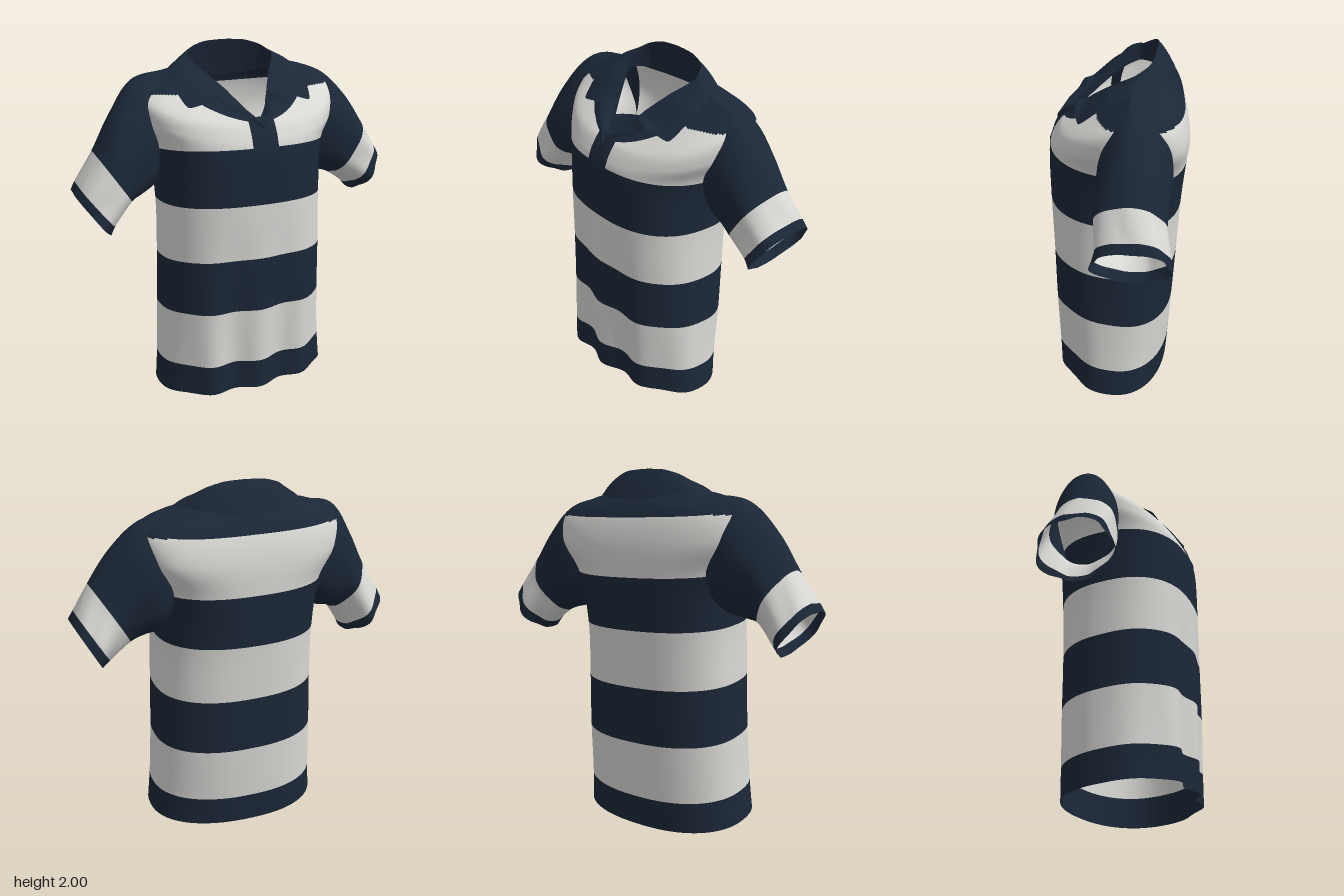
import * as THREE from 'three';

const mat = (name, color) => {
  const m = new THREE.MeshStandardMaterial({ color, side: THREE.DoubleSide });
  m.name = name;
  return m;
};
const { lerp, smoothstep } = THREE.MathUtils;
const V = (x, y, z) => new THREE.Vector3(x, y, z);

// Surface from a grid of points; tint(point, row) picks navy (0) or white (1)
function surface(name, mats, columns, closed, tint = () => 0) {
  const nu = columns.length, nv = columns[0].length;
  const pos = [], lists = [[], []];
  columns.forEach(c => c.forEach(p => pos.push(p.x, p.y, p.z)));
  for (let i = 0; i < (closed ? nu : nu - 1); i++) {
    const k = (i + 1) % nu;
    for (let j = 0; j < nv - 1; j++) {
      const a = i * nv + j, b = k * nv + j;
      const mid = columns[i][j].clone().add(columns[k][j + 1]).multiplyScalar(0.5);
      lists[tint(mid, j)].push(a, b, b + 1, a, b + 1, a + 1);
    }
  }
  const g = new THREE.BufferGeometry();
  g.setAttribute('position', new THREE.Float32BufferAttribute(pos, 3));
  g.setIndex([...lists[0], ...lists[1]]);
  g.addGroup(0, lists[0].length, 0);
  g.addGroup(lists[0].length, lists[1].length, 1);
  g.computeVertexNormals();
  const mesh = new THREE.Mesh(g, mats);
  mesh.name = name;
  return mesh;
}

const STEPS = 16;
const along = keys => new THREE.CatmullRomCurve3(keys).getPoints((keys.length - 1) * STEPS);

// Body rings, hem to neckline: y front/side/back, half width, z front/side/back, roundness front/back
const RINGS = [
  [0.075, 0.035, 0.0, 0.52, 0.357, 0.03, -0.305, 2.4, 2.3],
  [0.25, 0.21, 0.17, 0.505, 0.36, 0.02, -0.315, 2.4, 2.3],
  [0.57, 0.53, 0.49, 0.487, 0.365, 0.0, -0.33, 2.5, 2.4],
  [0.88, 0.84, 0.81, 0.475, 0.37, 0.0, -0.345, 2.5, 2.4],
  [1.19, 1.16, 1.13, 0.468, 0.375, -0.02, -0.36, 2.5, 2.4],
  [1.5, 1.46, 1.42, 0.49, 0.365, -0.08, -0.38, 2.5, 2.5],
  [1.56, 1.65, 1.6, 0.565, 0.34, -0.11, -0.38, 2.3, 3.1],
  [1.6, 1.79, 1.74, 0.565, 0.315, -0.11, -0.35, 2.2, 2.8],
  [1.62, 1.865, 1.83, 0.4, 0.295, -0.09, -0.3, 1.7, 2.1],
  [1.63, 1.885, 1.87, 0.265, 0.265, -0.11, -0.25, 1.1, 2],
];

function ringPoint([yF, yS, yB, w, zF, zS, zB, nF, nB], a) {
  const c = Math.cos(a), s = Math.sin(a), e = 2 / (c > 0 ? nF : nB);
  const f = Math.abs(c) ** e;
  const y = lerp(yS, c > 0 ? yF : yB, f);
  let x = w * Math.sign(s) * Math.abs(s) ** e;
  let z = lerp(zS, c > 0 ? zF : zB, f);
  const low = 1 - smoothstep(y, 0, 0.8);
  if (c > 0) {
    // soft vertical folds and a slightly twisted hem, and the off-centre neck point
    z += 0.022 * Math.cos(x * 21.5) * f * (1 - smoothstep(y, 0.1, 1.25)) - 0.07 * x * f * low;
    x += 0.02 * f * smoothstep(y, 1.4, 1.62);
  } else {
    z += x * f * (0.05 * low - 0.07 * smoothstep(y, 1.2, 1.6));
  }
  return V(x, y, z);
}

function makeBody(mats) {
  const n = 288, columns = [];
  for (let i = 0; i < n; i++) {
    const a = (i / n) * Math.PI * 2;
    columns.push(along(RINGS.map(r => ringPoint(r, a))));
  }
  return surface('body', mats, columns, true, (p, row) => {
    const seg = Math.floor(row / STEPS);
    if (seg < 5) return seg % 2;
    if (p.z < -0.1) return seg < 7 && p.y < 1.75 ? 1 : 0;
    return seg < 8 && p.y < 1.755 && (p.x < -0.04 || p.x > 0.075) ? 1 : 0;
  });
}

// Sleeve rings: top x, y, bottom x, y, centre z, half depth
const LEFT = [
  [0.36, 1.862, 0.44, 1.27, -0.13, 0.15],
  [0.56, 1.81, 0.49, 1.225, -0.13, 0.185],
  [0.71, 1.68, 0.57, 1.205, -0.12, 0.18],
  [0.84, 1.51, 0.64, 1.18, -0.115, 0.178],
  [0.922, 1.372, 0.762, 1.1, -0.13, 0.188],
  [0.947, 1.325, 0.8, 1.06, -0.13, 0.195],
];
const RIGHT = [
  [-0.38, 1.862, -0.44, 1.27, -0.12, 0.15],
  [-0.57, 1.825, -0.49, 1.23, -0.08, 0.185],
  [-0.71, 1.66, -0.58, 1.2, -0.025, 0.19],
  [-0.82, 1.47, -0.63, 1.18, 0.0, 0.19],
  [-0.922, 1.31, -0.728, 1.055, 0.005, 0.203],
  [-0.945, 1.265, -0.757, 1.01, 0.005, 0.21],
];

function makeSleeve(name, mats, rings) {
  const n = 72, columns = [];
  for (let i = 0; i < n; i++) {
    const a = (i / n) * Math.PI * 2;
    columns.push(along(rings.map(([tx, ty, bx, by, zc, zs], k) => {
      const r = 1 + 0.012 * k * Math.sin(5 * a + k);
      const c = Math.cos(a) * (k > 2 ? Math.min(r, 1) : 1);
      return V((tx + bx) / 2 + c * (tx - bx) / 2, (ty + by) / 2 + c * (ty - by) / 2, zc + zs * r * Math.sin(a));
    })));
  }
  return surface(name, mats, columns, true, (p, row) => (Math.floor(row / STEPS) === 3 ? 1 : 0));
}

// Collar curves, front point to centre back (left half)
const FOLD = [
  [0, 1.62, 0.305], [0.045, 1.67, 0.24], [0.08, 1.72, 0.18], [0.1, 1.745, 0.15], [0.12, 1.775, 0.115],
  [0.185, 1.85, 0.01], [0.25, 1.92, -0.1], [0.21, 1.965, -0.175], [0.12, 1.993, -0.2], [0, 2.0, -0.205],
];
const EDGE = [
  [0, 1.58, 0.335], [0.08, 1.66, 0.285], [0.175, 1.69, 0.24], [0.215, 1.735, 0.21], [0.35, 1.7, 0.172],
  [0.385, 1.795, 0.05], [0.37, 1.866, -0.1], [0.28, 1.865, -0.23], [0.15, 1.845, -0.292], [0, 1.83, -0.308],
];
const STAND = [
  [0, 1.59, 0.3], [0.05, 1.63, 0.235], [0.09, 1.68, 0.17], [0.11, 1.7, 0.14], [0.13, 1.73, 0.105],
  [0.2, 1.8, 0], [0.265, 1.83, -0.1], [0.22, 1.82, -0.205], [0.13, 1.8, -0.245], [0, 1.79, -0.26],
];

function collarCurve(half) {
  const pts = [...half, ...half.slice(0, -1).reverse().map(([x, y, z]) => [-x, y, z])]
    .map(([x, y, z]) => V(x + 0.06 * Math.max(z, 0), y, z));
  return new THREE.CatmullRomCurve3(pts, false, 'catmullrom', 0.3).getPoints(144);
}

// Ribbon between two curves, bulging upward by lift
function ribbon(name, mats, from, to, lift) {
  const a = collarCurve(from), b = collarCurve(to);
  return surface(name, mats, a.map((p, i) => Array.from({ length: 9 }, (_, j) => {
    const t = j / 8, q = p.clone().lerp(b[i], t), h = lift * Math.sin(Math.PI * t);
    return q.add(V(0, h, q.z > 0 ? h : 0));
  })), false);
}

// Overlapping button strip below the neck point
function makePlacket(mats) {
  const zs = [[1.42, 0.375], [1.5, 0.37], [1.56, 0.35], [1.6, 0.328], [1.65, 0.292]];
  const columns = [0, 1, 2, 3, 4].map(i => zs.map(([y, z]) => {
    const x = lerp(-0.055, 0.09, i / 4);
    return V(x, y, z - Math.abs(x - 0.02) * 0.15 * smoothstep(y, 1.5, 1.65));
  }));
  return surface('placket', mats, columns, false);
}

export function createModel() {
  const mats = [mat('navy cloth', 0x1b2737), mat('white cloth', 0xd8d8d5)];
  const shirt = new THREE.Group();
  shirt.name = 'shirt';
  const collar = new THREE.Group();
  collar.name = 'collar';
  collar.add(
    ribbon('collarFlap', mats, FOLD, EDGE, 0.012),
    ribbon('collarStand', mats, STAND, FOLD, 0),
  );
  shirt.add(
    makeBody(mats),
    makeSleeve('leftSleeve', mats, LEFT),
    makeSleeve('rightSleeve', mats, RIGHT),
    makePlacket(mats),
    collar,
  );
  return shirt;
}
